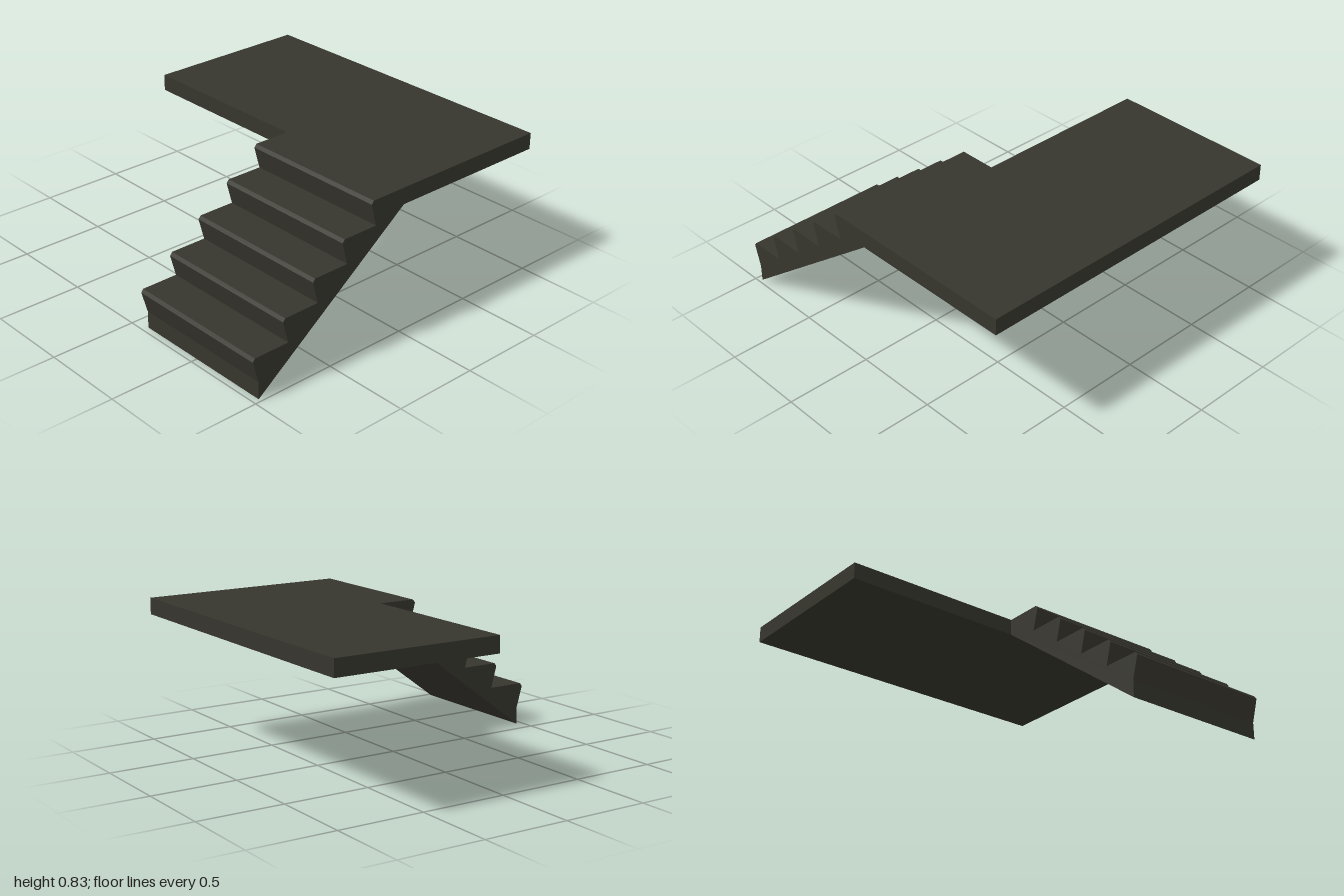
import * as THREE from 'three';

export function createModel() {
  const group = new THREE.Group();
  const darkStone = new THREE.MeshStandardMaterial({ color: 0x36352d });
  darkStone.name = 'darkStone';

  const right = 0.98, stairLeft = 0.095;
  const top = 0.835, underside = 0.74, joint = -0.02;
  const steps = 5, rise = 0.147, run = 0.1965, firstTop = 0.247;

  // Landing slab
  const landing = new THREE.Mesh(
    new THREE.BoxGeometry(right * 2, top - underside, 1 + joint), darkStone);
  landing.name = 'landing';
  landing.position.set(0, (top + underside) / 2, (joint - 1) / 2);
  group.add(landing);

  // Stair side profile as [z, y]: raked risers with chamfered nosings
  const profile = [[0.963, 0], [0.963, 0.1]];
  for (let i = 0; i < steps; i++) {
    const nose = 1 - i * run, y = firstTop + i * rise;
    if (i > 0) profile.push([nose - 0.035, y - rise]);
    profile.push([nose, y - 0.018], [nose - 0.014, y]);
  }
  profile.push([joint, top], [joint, underside]);

  // Extrude across the flight, then turn the depth onto x
  const shape = new THREE.Shape(profile.map(([z, y]) => new THREE.Vector2(-z, y)));
  const flight = new THREE.ExtrudeGeometry(shape, { depth: right - stairLeft, bevelEnabled: false });
  flight.rotateY(Math.PI / 2);
  flight.translate(stairLeft, 0, 0);
  const stairs = new THREE.Mesh(flight, darkStone);
  stairs.name = 'stairFlight';
  group.add(stairs);

  return group;
}
